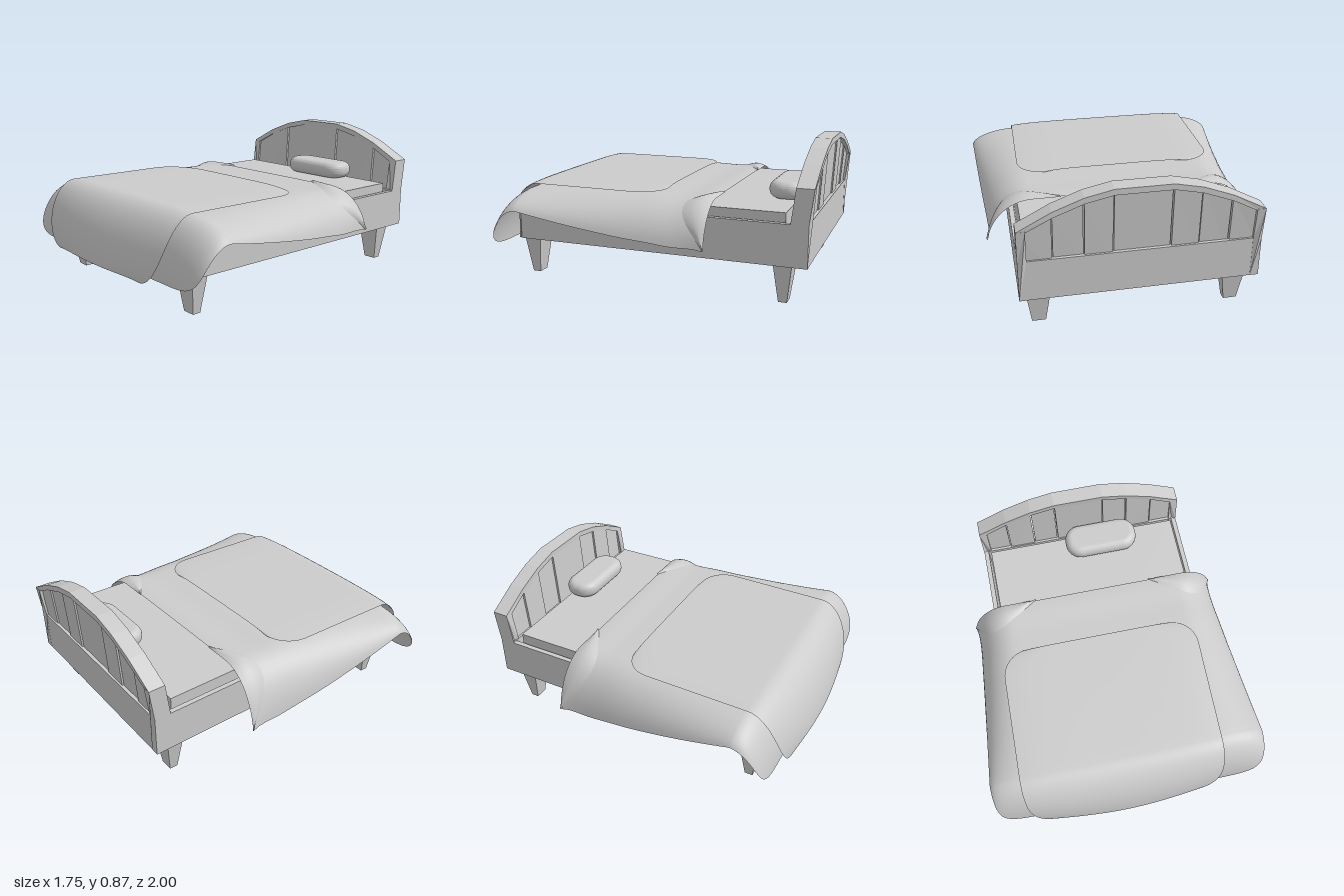
import * as THREE from 'three';

const mat = new THREE.MeshStandardMaterial({ color: 0xcccccc, flatShading: true });
const cloth = new THREE.MeshStandardMaterial({ color: 0xcccccc, side: THREE.DoubleSide });
const { lerp, clamp } = THREE.MathUtils;

function add(parent, name, geometry, material = mat) {
  const mesh = new THREE.Mesh(geometry, material);
  mesh.name = name;
  parent.add(mesh);
  return mesh;
}

// Box given by its limits
function box(parent, name, x0, x1, y0, y1, z0, z1) {
  const g = new THREE.BoxGeometry(x1 - x0, y1 - y0, z1 - z0);
  g.translate((x0 + x1) / 2, (y0 + y1) / 2, (z0 + z1) / 2);
  return add(parent, name, g);
}

// Cloth surface from a rule f(u, v) -> [x, y, z]
function sheet(nu, nv, f) {
  const pos = [], idx = [];
  for (let j = 0; j <= nv; j++)
    for (let i = 0; i <= nu; i++) pos.push(...f(i / nu, j / nv));
  for (let j = 0; j < nv; j++)
    for (let i = 0; i < nu; i++) {
      const a = j * (nu + 1) + i, b = a + 1, c = a + nu + 1, d = c + 1;
      idx.push(a, c, b, b, c, d);
    }
  const g = new THREE.BufferGeometry();
  g.setAttribute('position', new THREE.Float32BufferAttribute(pos, 3));
  g.setIndex(idx);
  g.computeVertexNormals();
  return g;
}

// Arched outline of the headboard
const arch = [[-0.67, 0.67], [-0.48, 0.77], [-0.31, 0.835], [-0.15, 0.87],
  [0.17, 0.87], [0.33, 0.835], [0.5, 0.77], [0.69, 0.67]];

// Upright slab between z0 and z1 that leans back from the rail up to y = 0.67
function leaningSlab(points, z0, z1) {
  const shape = new THREE.Shape(points.map(p => new THREE.Vector2(...p)));
  const g = new THREE.ExtrudeGeometry(shape, { depth: z1 - z0, bevelEnabled: false });
  g.translate(0, 0, z0);
  const p = g.attributes.position;
  for (let i = 0; i < p.count; i++)
    p.setZ(i, p.getZ(i) + 0.025 * (1 - clamp((p.getY(i) - 0.47) / 0.2, 0, 1)));
  g.computeVertexNormals();
  return g;
}

function buildHeadboard() {
  const group = new THREE.Group();
  group.name = 'headboard';
  // Planks, alternately set a little forward and back
  for (let i = 0; i < arch.length - 1; i++) {
    const [x0, y0] = arch[i], [x1, y1] = arch[i + 1];
    const step = i % 2 ? 0.008 : 0;
    add(group, 'headboardPlank', leaningSlab(
      [[x0 + 0.003, 0.4], [x1 - 0.003, 0.4], [x1 - 0.003, y1 - 0.02], [x0 + 0.003, y0 - 0.02]],
      -0.982 + step, -0.912 + step));
  }
  // Rim along the arch
  const lower = arch.map(([x, y]) => [x, y - 0.035]);
  add(group, 'headboardRim', leaningSlab([...lower, ...arch.slice().reverse()], -1, -0.9));
  // Corner posts and bottom rail
  for (const [x0, x1] of [[-0.67, -0.62], [0.64, 0.69]])
    add(group, 'headboardPost', leaningSlab(
      [[x0, 0.23], [x1, 0.23], [x1, 0.47], [x1, 0.67], [x0, 0.67], [x0, 0.47]], -1, -0.9));
  box(group, 'headboardRail', -0.65, 0.67, 0.23, 0.475, -0.974, -0.876);
  return group;
}

function buildFrame() {
  const group = new THREE.Group();
  group.name = 'frame';
  box(group, 'bedBase', -0.66, 0.68, 0.23, 0.27, -0.95, 0.82);
  box(group, 'sideRail', -0.67, -0.64, 0.23, 0.47, -0.9, 0.8);
  box(group, 'sideRail', 0.66, 0.69, 0.23, 0.47, -0.9, 0.8);
  // Footboard with cut corners
  const s = new THREE.Shape([[-0.67, -0.79], [0.69, -0.79], [0.69, -0.8], [0.66, -0.83],
    [-0.64, -0.83], [-0.67, -0.8]].map(p => new THREE.Vector2(...p)).reverse());
  const g = new THREE.ExtrudeGeometry(s, { depth: 0.24, bevelEnabled: false });
  g.rotateX(-Math.PI / 2).translate(0, 0.23, 0);
  add(group, 'footboard', g);
  // Tapered square legs
  for (const x of [-0.56, 0.58])
    for (const z of [0.745, -0.83]) {
      const leg = new THREE.BoxGeometry(0.15, 0.24, 0.11);
      const p = leg.attributes.position;
      for (let i = 0; i < p.count; i++)
        if (p.getY(i) < 0) p.setXYZ(i, p.getX(i) * 0.53, p.getY(i), p.getZ(i) * 0.45);
      leg.computeVertexNormals();
      add(group, 'leg', leg).position.set(x, 0.12, z);
    }
  return group;
}

// Duvet: flat on top, hanging over both sides and the foot, with rounded corners.
// s runs across (-1..1), z is the flat length, b (0..1) the front overhang.
function duvetPoint(s, z, b) {
  const side = Math.sign(s), t = (z + 0.42) / 1.14;
  const aMax = Math.pow(Math.max(0, 1 - Math.pow(b, 2.5)), 0.4);
  const a = Math.max(0, Math.abs(s) - 0.5) * 2 * aMax * 1.4;
  const flare = 0.03 * Math.exp(-t * 18);
  const width = lerp(0.245, 0.32, Math.pow(clamp(t, 0, 1), 0.8)) + flare;
  const hang = lerp(side > 0 ? 0.24 : 0.33, 0.1, Math.pow(clamp(t, 0, 1), 1.6)) / 0.83;
  const fold = 0.008 * Math.sin(t * 24) * Math.exp(-t * 6);
  return [
    side * (Math.min(Math.abs(s) * 2, 1) * 0.56 + width * Math.sin(a)),
    0.547 + fold - hang * (1 - Math.cos(a)) - 0.42 * (1 - Math.cos(b * 1.4)),
    z + 0.21 * Math.sin(b * 1.4) - 0.015 * Math.sin(a) * (1 - t),
  ];
}

function buildBedding() {
  const group = new THREE.Group();
  group.name = 'bedding';
  box(group, 'mattress', -0.62, 0.64, 0.26, 0.52, -0.84, 0.78);

  add(group, 'duvet', sheet(48, 48, (u, v) => {
    const b = Math.sin(clamp((v - 0.5) * 2, 0, 1) * Math.PI / 2);
    return duvetPoint(u * 2 - 1, lerp(-0.41, 0.72, Math.min(v * 2, 1)), b);
  }), cloth);

  // Turned-back corners at the head end of the duvet
  for (const side of [-1, 1])
    add(group, 'duvetFold', sheet(16, 6, (u, v) => {
      const s = side > 0 ? lerp(0.34, 1, u) : lerp(-1, -0.34, u);
      const depth = 0.16 * Math.sin(Math.PI * (Math.abs(s) - 0.34) / 0.66);
      const [x, y, z] = duvetPoint(s, -0.415 + depth * v, 0);
      const lift = 0.012 * Math.sin(Math.PI * v);
      return [x + side * lift * 0.6, y + lift, z];
    }), cloth);

  // Throw: rounded rectangle lying on the duvet and falling over the foot
  add(group, 'throw', sheet(36, 48, (u, v) => {
    const s = u * 2 - 1;
    const w = 1 - Math.cos(Math.min(v * 4, 1) * Math.PI / 2);
    const flat = v < 0.25 ? -0.075 + 0.17 * w : lerp(0.095, 0.74, clamp((v - 0.25) * 4, 0, 1));
    const b = Math.sin(clamp((v - 0.5) * 2, 0, 1) * Math.PI / 2);
    const back = v < 0.25 ? 0.17 * (1 - Math.sqrt(Math.max(0, 1 - (1 - w) ** 2))) : 0;
    const front = 0.2 * (1 - Math.sqrt(Math.max(0, 1 - b ** 4)));
    const half = 0.635 - back - front;
    return [
      lerp(-0.03, -0.05, clamp(flat, 0, 1)) + s * half,
      0.57 - 0.012 * Math.abs(s) ** 6 - 0.47 * (1 - Math.cos(b * 1.4)),
      flat + (0.264 - 0.035 * s * s) * Math.sin(b * 1.4),
    ];
  }), cloth);

  // Pillow: rounded slab with a full soft edge
  const hx = 0.195, hz = 0.065, r = 0.055, p = new THREE.Shape();
  p.absarc(hx - r, hz - r, r, 0, Math.PI / 2);
  p.absarc(r - hx, hz - r, r, Math.PI / 2, Math.PI);
  p.absarc(r - hx, r - hz, r, Math.PI, Math.PI * 1.5);
  p.absarc(hx - r, r - hz, r, Math.PI * 1.5, Math.PI * 2);
  const pillow = new THREE.ExtrudeGeometry(p, { depth: 0.01, bevelThickness: 0.047,
    bevelSize: 0.045, bevelSegments: 6, curveSegments: 8 });
  pillow.rotateX(-Math.PI / 2).translate(0.13, 0.57, -0.77);
  add(group, 'pillow', pillow);
  return group;
}

export function createModel() {
  const model = new THREE.Group();
  model.name = 'bed';
  model.add(buildFrame(), buildHeadboard(), buildBedding());
  return model;
}
